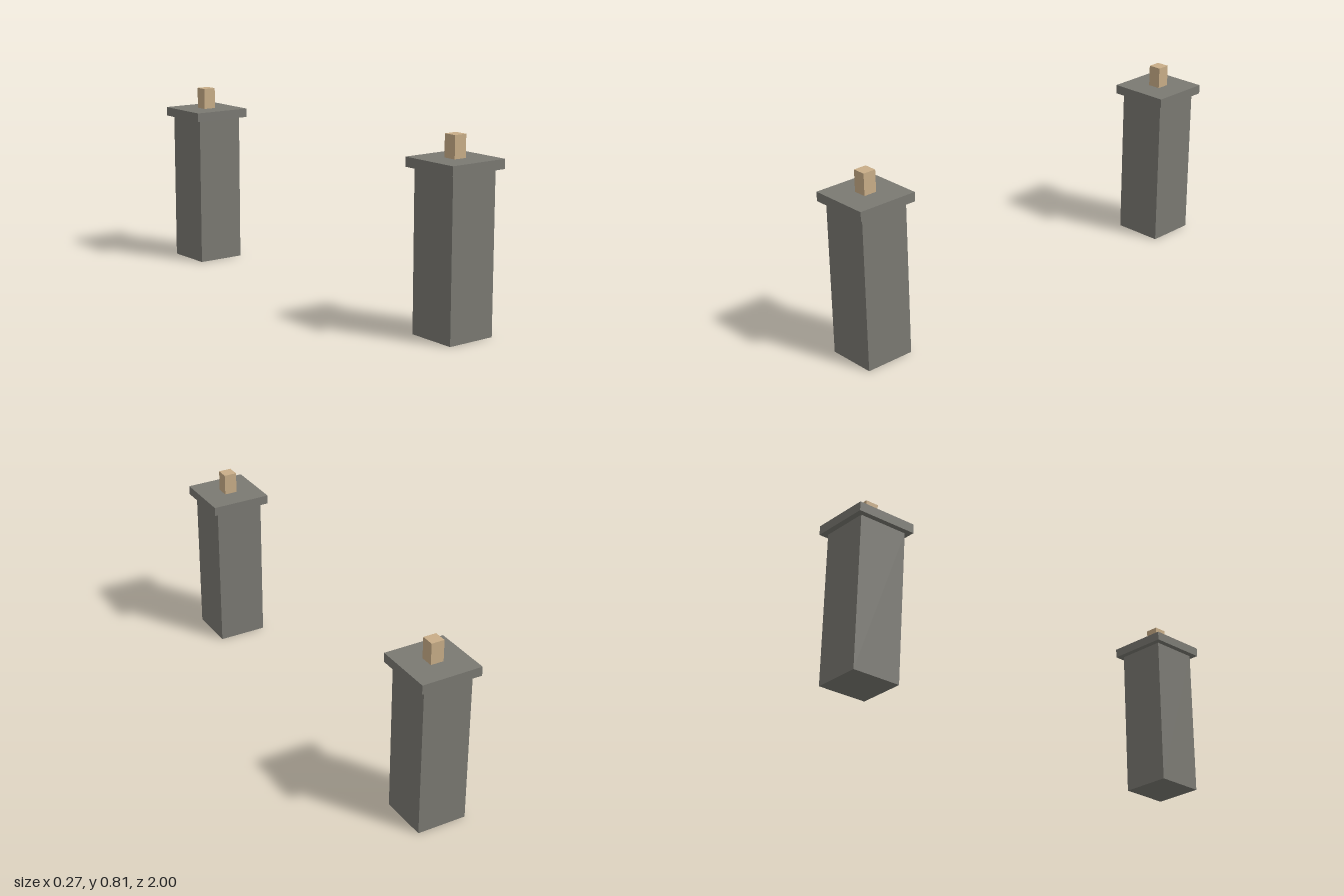
import * as THREE from 'three';

const stone = new THREE.MeshStandardMaterial({ color: 0x7a7972 });
stone.name = 'grey stone';
const tan = new THREE.MeshStandardMaterial({ color: 0xc8ad87 });
tan.name = 'warm tan';

// Square block standing between two heights
function block(name, width, bottom, top, material) {
  const mesh = new THREE.Mesh(new THREE.BoxGeometry(width, top - bottom, width), material);
  mesh.name = name;
  mesh.position.y = (bottom + top) / 2;
  return mesh;
}

// Gate pillar: shaft, overhanging cap slab and small lamp block
function pillar(name, z) {
  const group = new THREE.Group();
  group.name = name;
  group.position.z = z;
  group.add(
    block('shaft', 0.22, 0, 0.671, stone),
    block('cap', 0.27, 0.671, 0.711, stone),
    block('lamp', 0.058, 0.711, 0.805, tan)
  );
  return group;
}

export function createModel() {
  const model = new THREE.Group();
  model.name = 'gatePillars';
  model.add(pillar('frontPillar', 0.865), pillar('backPillar', -0.865));
  return model;
}
